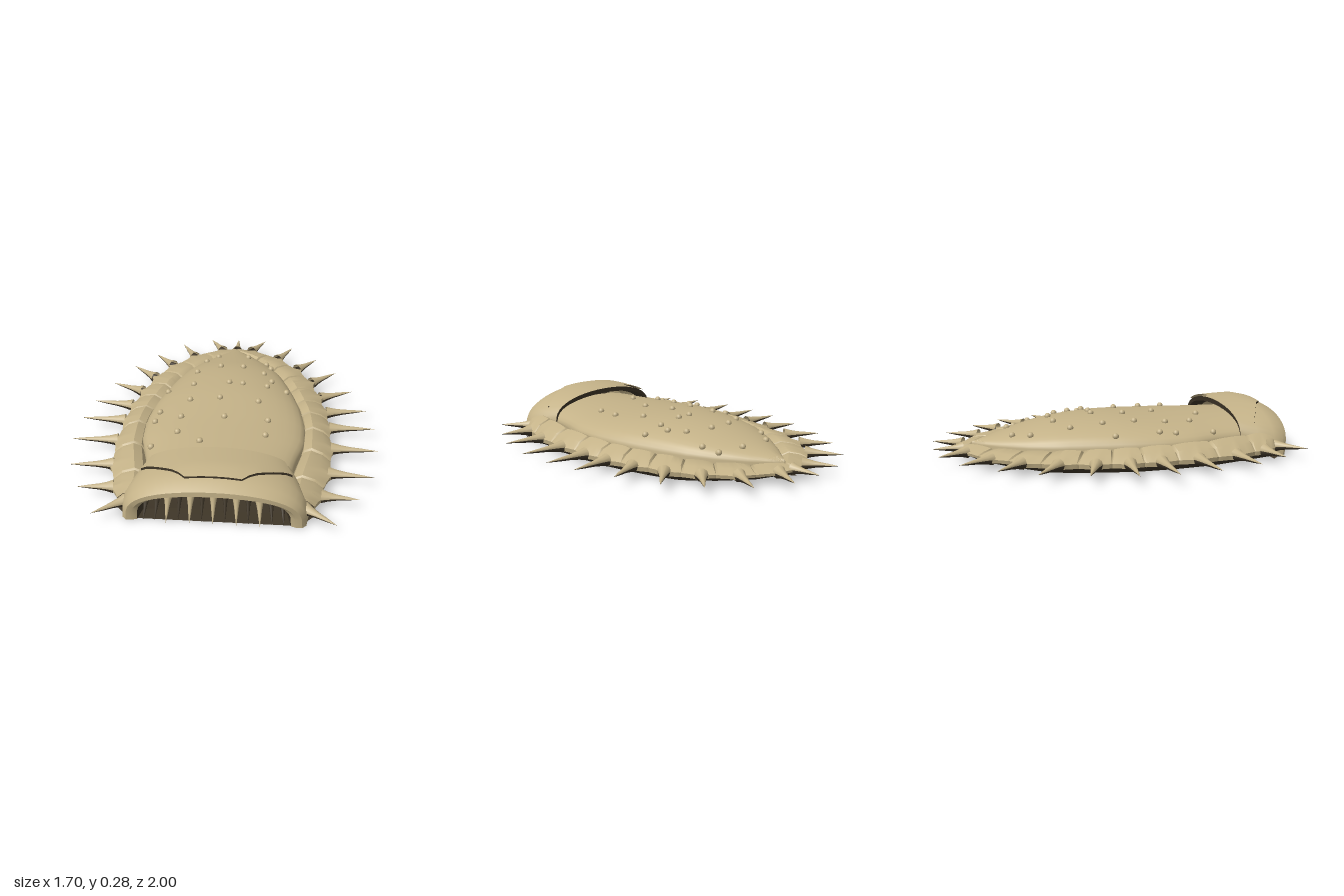
import * as THREE from 'three';
import { toCreasedNormals } from 'three/addons/utils/BufferGeometryUtils.js';

const { lerp } = THREE.MathUtils;
const V = (x, y, z) => new THREE.Vector3(x, y, z);

// Piecewise-linear lookup in a list of [key, value]
function sample(table, k) {
  if (k <= table[0][0]) return table[0][1];
  for (let i = 1; i < table.length; i++) {
    const [a, b] = [table[i - 1], table[i]];
    if (k <= b[0]) return lerp(a[1], b[1], (k - a[0]) / (b[0] - a[0]));
  }
  return table[table.length - 1][1];
}

// Surface through a grid of points, i in [i0, i1] and j in [j0, j1]
function grid([i0, i1], [j0, j1], point, flip = false, crease = 0.6) {
  const pos = [], idx = [], m = j1 - j0 + 1;
  for (let i = i0; i <= i1; i++) for (let j = j0; j <= j1; j++) pos.push(...point(i, j));
  for (let i = 0; i < i1 - i0; i++) for (let j = 0; j < m - 1; j++) {
    const a = i * m + j, b = a + 1, c = a + m, d = c + 1;
    idx.push(...(flip ? [a, c, b, b, c, d] : [a, b, c, b, d, c]));
  }
  const g = new THREE.BufferGeometry();
  g.setAttribute('position', new THREE.Float32BufferAttribute(pos, 3));
  g.setIndex(idx);
  return toCreasedNormals(g, crease);
}

// Central shell: half width, ridge height and rim height along z
const WIDTH = [[-0.78, 0.005], [-0.66, 0.12], [-0.5, 0.24], [-0.37, 0.31], [-0.22, 0.36], [-0.08, 0.4],
  [0.05, 0.43], [0.22, 0.45], [0.4, 0.44], [0.56, 0.39], [0.7, 0.37], [0.8, 0.36]];
const RIDGE = [[-0.78, 0.108], [-0.6, 0.152], [-0.35, 0.207], [-0.2, 0.222], [0, 0.228], [0.3, 0.215], [0.8, 0.208]];
const RIM = [[-0.78, 0.09], [-0.4, 0.105], [0.2, 0.115], [0.8, 0.115]];
const shellY = (x, z) => {
  const s = Math.min(1, Math.abs(x) / sample(WIDTH, z)), e = sample(RIM, z);
  return e + (sample(RIDGE, z) - e) * Math.sqrt(1 - s * s);
};

// Plate boundaries on the left half: inner x, z, outer x, z
const SEAMS = [[0, -0.77, 0, -0.86], [0.13, -0.65, 0.22, -0.77], [0.24, -0.5, 0.36, -0.63], [0.31, -0.37, 0.46, -0.48],
  [0.36, -0.22, 0.52, -0.3], [0.4, -0.08, 0.56, -0.13], [0.43, 0.05, 0.585, 0.04], [0.445, 0.22, 0.59, 0.23],
  [0.43, 0.44, 0.585, 0.46], [0.37, 0.7, 0.54, 0.7], [0.36, 0.88, 0.49, 0.85]];
// Spines: base x, z, tip x, z
const SPINES = [[0.1, -0.82, 0.19, -0.985], [0.28, -0.71, 0.38, -0.89], [0.41, -0.575, 0.54, -0.72], [0.5, -0.4, 0.66, -0.54],
  [0.55, -0.215, 0.75, -0.3], [0.58, -0.04, 0.82, -0.07], [0.59, 0.13, 0.85, 0.13], [0.59, 0.34, 0.85, 0.355],
  [0.565, 0.57, 0.8, 0.6], [0.525, 0.765, 0.71, 0.79], [0.44, 0.87, 0.59, 0.995]];
const BUMPS = [[-0.105, -0.57], [0.09, -0.57], [-0.175, -0.48], [0.21, -0.51], [0.24, -0.42], [-0.07, -0.33], [0.07, -0.33],
  [-0.21, -0.265], [0.2, -0.265], [0.25, -0.17], [-0.36, -0.05], [-0.21, -0.08], [0, -0.09], [0.08, -0.085], [0.225, -0.09],
  [0.34, -0.085], [-0.21, 0.105], [-0.04, 0.09], [0.18, 0.105], [-0.37, 0.2], [-0.385, 0.29], [-0.24, 0.28], [0, 0.285],
  [0.24, 0.285], [-0.24, 0.43], [0.23, 0.43], [-0.11, 0.525], [-0.37, 0.52]];

const bottomY = z => 0.01 + Math.max(0, -0.45 - z) * 0.08;
const plateY = z => sample([[-0.85, 0.1], [-0.4, 0.118], [0.2, 0.138], [0.9, 0.145]], z);
const edgeY = z => sample([[-0.85, 0.076], [0, 0.073], [0.9, 0.07]], z);

// One bulging margin plate between two seams; rows 0-5 are its top and rim, rows 5-8 run on under the belly
const ALONG = [0, 0.05, 0.22, 0.38, 0.5, 0.62, 0.78, 0.95, 1];
const SWELL = [0, 0.75, 0.92, 1, 1, 1, 0.92, 0.75, 0];
const REACH = [0.97, 1, 1.03, 1.09, 1.22, 1.09, 1.03, 1, 0.97];
function plateGeometry(k, side, rows) {
  const A = SEAMS[k], B = SEAMS[k + 1];
  return grid([0, 8], rows, (i, j) => {
    const [ix, iz, ox, oz] = A.map((a, n) => lerp(a, B[n], ALONG[i]));
    const p = plateY(oz) - 0.022 * (1 - SWELL[i]), e = edgeY(oz), low = bottomY(oz), out = REACH[i];
    const [v, y] = [[-0.06, 0.07], [0.05, p - 0.02], [0.32, p], [0.72, lerp(e, p, 0.65)], [out, e],
      [out * 0.97, lerp(low, e, 0.6)], [0.86, lerp(low, e, 0.25)], [0.62, low], [0, low]][j];
    return j === 8 ? [0, y, oz] : [side * lerp(ix, ox, v), y, lerp(iz, oz, v)];
  }, side < 0);
}

// Arched section of the head; t runs from -1 to 1 and p sets how boxy it is
const arch = (w, h, base, p, t) => {
  const a = t * Math.PI / 2;
  return [w * Math.sin(a), base + (h - base) * Math.pow(Math.max(0, Math.cos(a)), p)];
};

export function createModel() {
  const model = new THREE.Group();
  const makeMaterial = (name, color) => {
    const m = new THREE.MeshStandardMaterial({ color, side: THREE.DoubleSide });
    m.name = name;
    return m;
  };
  const tan = makeMaterial('sandy tan', 0xc4b288);
  const dark = makeMaterial('dark brown', 0x3f3628);
  const add = (name, geometry, material = tan, parent = model) => {
    const mesh = new THREE.Mesh(geometry, material);
    mesh.name = name;
    parent.add(mesh);
    return mesh;
  };
  const group = (name, parent = model) => {
    const g = new THREE.Group();
    g.name = name;
    parent.add(g);
    return g;
  };

  // Central shell with a short skirt at each rim
  const N = 23, M = 19;
  add('centralShell', grid([0, N], [0, M + 1], (i, j) => {
    const z = lerp(-0.78, 0.8, i / N), w = sample(WIDTH, z);
    const t = THREE.MathUtils.clamp((j - 1) / (M - 1), 0, 1) * 2 - 1;
    const x = w * Math.sin(t * Math.PI / 2);
    return [x, j === 0 || j === M + 1 ? 0.06 : shellY(x, z), z];
  }, true));

  // Small round bumps on the shell
  const bumps = group('shellBumps');
  const bumpGeometry = new THREE.SphereGeometry(0.018, 10, 8);
  BUMPS.forEach(([x, z]) => add('bump', bumpGeometry, tan, bumps).position.set(x, shellY(x, z) + 0.004, z));

  // Concave, tapering spike in two halves, an upper and a dark lower one
  const spike = (name, from, to, radius, upper, parent) => {
    const dir = to.clone().sub(from), L = dir.length();
    dir.normalize();
    const profile = [[1, 0], [0.68, 0.18], [0.44, 0.4], [0.26, 0.68], [0, 1]].map(([r, h]) => new THREE.Vector2(r * radius, h * L));
    const across = dir.clone().cross(V(0, 1, 0)).normalize();
    const g = group(name, parent);
    add(name + 'Top', new THREE.LatheGeometry(profile, 5, -Math.PI / 2, Math.PI), upper, g);
    add(name + 'Underside', new THREE.LatheGeometry(profile, 5, Math.PI / 2, Math.PI), dark, g);
    g.position.copy(from);
    g.quaternion.setFromRotationMatrix(new THREE.Matrix4().makeBasis(across, dir, across.clone().cross(dir)));
  };

  // Margin plates, dark belly and spines, mirrored
  const plates = group('marginPlates'), belly = group('belly'), spines = group('marginSpines');
  for (const side of [1, -1]) {
    for (let k = 0; k < SEAMS.length - 1; k++) {
      add('marginPlate', plateGeometry(k, side, [0, 5]), tan, plates);
      add('bellyPlate', plateGeometry(k, side, [5, 8]), dark, belly);
    }
    SPINES.forEach(([bx, bz, tx, tz]) =>
      spike('spine', V(side * bx, edgeY(bz), bz), V(side * tx, 0.078, tz), 0.036, tan, spines));
  }
  spike('tailSpine', V(0, 0.074, -0.83), V(0, 0.076, -1), 0.034, tan, spines);

  // Head hood: rows of z, half width, top, base, boxiness, forward bulge at the centre
  const rows = [[0.76, 0.35, 0.232, 0.1, 0.7, 0], [0.69, 0.37, 0.24, 0.1, 0.7, 0], [0.685, 0.385, 0.27, 0.1, 0.72, 0],
    [0.78, 0.43, 0.275, 0.06, 0.75, 0], [0.87, 0.46, 0.278, 0.02, 0.75, 0], [0.925, 0.45, 0.265, 0.01, 0.75, 0.015],
    [0.945, 0.43, 0.235, 0.01, 0.7, 0.05], [0.945, 0.4, 0.208, 0.01, 0.62, 0.05], [0.935, 0.375, 0.195, 0.01, 0.6, 0.035],
    [0.86, 0.36, 0.183, 0.01, 0.6, 0], [0.74, 0.33, 0.17, 0.01, 0.6, 0], [0.73, 0.01, 0.02, 0.01, 0.6, 0]];
  const hoodPoint = (i, j) => {
    const [z, w, h, base, p, bulge] = rows[i], t = j / 12 - 1;
    const [x, y] = arch(w, h, base, p, t);
    return [x, y, z + bulge * Math.cos(t * Math.PI / 2)];
  };
  const hood = (name, from, to, material) => add(name, grid([from, to], [0, 24], hoodPoint, true, 0.5), material);
  hood('hoodBackHollow', 0, 2, dark);
  hood('headHood', 2, 8, tan);
  hood('mouthInterior', 8, 11, dark);

  // Raised brow over the hood, with a stepped front edge
  const browFront = [[0, 0.925], [0.14, 0.925], [0.17, 0.885], [0.35, 0.79], [0.4, 0.77]];
  const browPoint = (i, j) => {
    const t = (j / 14 - 1) * 0.68;
    const front = sample(browFront, Math.abs(0.44 * Math.sin(t * Math.PI / 2)));
    const z = lerp(0.685, front, Math.min(i, 4) / 4);
    const at = n => sample(rows.slice(2, 7).map(r => [r[0], r[n]]), z);
    const [x, y] = arch(at(1), at(2), at(3), at(4), t);
    return [x, y + (i === 5 ? -0.012 : 0.013), z];
  };
  add('brow', grid([0, 4], [0, 28], browPoint, true));
  add('browStep', grid([4, 5], [0, 28], browPoint, true), dark);

  // Mouth floor joining the belly
  const floor = new THREE.Shape([[-0.5, 0.84], [0.5, 0.84], [0.42, 0.93], [-0.42, 0.93]].map(p => new THREE.Vector2(...p)));
  add('mouthFloor', new THREE.ShapeGeometry(floor).rotateX(Math.PI / 2), dark).position.y = 0.01;

  // Fringe of hanging teeth: five pale ones among dark ones
  const teeth = group('teeth');
  for (let n = -6; n <= 6; n++) {
    const x = n * 0.055, top = 0.178 - 0.55 * x * x, pale = n % 2 === 0 && Math.abs(n) < 6;
    spike('tooth', V(x, top, pale ? 0.91 : 0.89), V(x * 1.03, 0.03, pale ? 0.98 : 0.96), pale ? 0.026 : 0.022, pale ? tan : dark, teeth);
  }
  return model;
}
